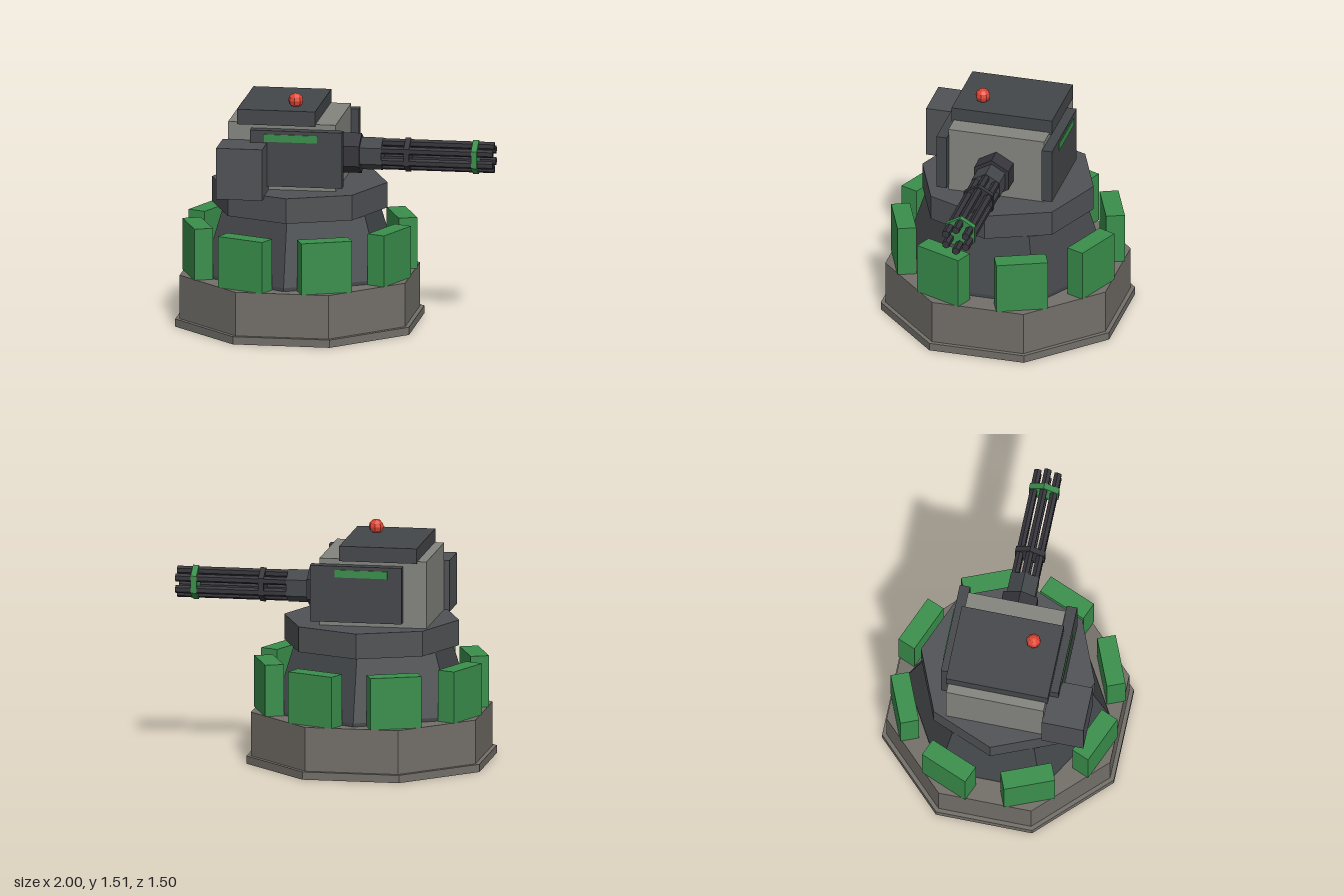
import * as THREE from 'three';

const mat = (color) => new THREE.MeshStandardMaterial({ color, flatShading: true });

export function createModel() {
  const model = new THREE.Group();
  const stone = mat(0x736f69), shell = mat(0x84847f), steel = mat(0x505255),
    dark = mat(0x44474a), gunmetal = mat(0x36363c), green = mat(0x3a8f4c), red = mat(0xe04535);
  const cx = -0.25, gunY = 1.1;

  const add = (name, geometry, material, parent = model) => {
    const mesh = new THREE.Mesh(geometry, material);
    mesh.name = name;
    parent.add(mesh);
    return mesh;
  };
  // Box given by its extents on each axis
  const box = (name, material, [x0, x1], [y0, y1], [z0, z1]) =>
    add(name, new THREE.BoxGeometry(x1 - x0, y1 - y0, z1 - z0), material)
      .position.set((x0 + x1) / 2, (y0 + y1) / 2, (z0 + z1) / 2);
  // Upright prism around the turret axis
  const prism = (name, material, sides, rBottom, rTop, y0, y1, turn = 0) =>
    add(name, new THREE.CylinderGeometry(rTop, rBottom, y1 - y0, sides, 1, false, turn), material)
      .position.set(cx, (y0 + y1) / 2, 0);
  // Hexagonal bar along x, with a corner pointing up
  const hexBar = (name, material, r, x0, x1, parent, y = 0, z = 0) => {
    const g = new THREE.CylinderGeometry(r, r, x1 - x0, 6, 1, false, Math.PI / 6);
    g.rotateZ(-Math.PI / 2);
    add(name, g, material, parent).position.set((x0 + x1) / 2, y, z);
  };

  // Octagonal base
  prism('baseFoot', stone, 8, 0.812, 0.812, 0, 0.05, Math.PI / 8);
  prism('base', stone, 8, 0.783, 0.783, 0.05, 0.333, Math.PI / 8);

  // Ring of armour blocks
  const ring = new THREE.Group();
  ring.name = 'armourRing';
  model.add(ring);
  for (let i = 0; i < 8; i++) {
    const a = (i + 0.5) * Math.PI / 4;
    const block = add('armourBlock', new THREE.BoxGeometry(0.33, 0.332, 0.12), green, ring);
    block.position.set(cx + 0.666 * Math.sin(a), 0.499, 0.666 * Math.cos(a));
    block.rotation.y = a;
  }

  // Hexagonal pedestal and octagonal collar
  prism('pedestalFoot', dark, 6, 0.66, 0.66, 0.333, 0.355);
  prism('pedestal', dark, 6, 0.66, 0.53, 0.355, 0.752);
  prism('collar', steel, 8, 0.563, 0.563, 0.752, 0.915);

  // Turret head
  box('head', shell, [-0.66, 0.03], [0.915, 1.347], [-0.315, 0.315]);
  box('roof', dark, [-0.6, -0.1], [1.335, 1.432], [-0.33, 0.33]);
  for (const s of [1, -1]) {
    const span = (a, b) => (s > 0 ? [a, b] : [-b, -a]);
    box('sidePlate', dark, [-0.51, 0.08], [0.95, 1.312], span(0.312, 0.38));
    box('sideStripe', green, [-0.42, -0.08], [1.24, 1.288], span(0.37, 0.386));
  }
  box('ammoBox', steel, [-0.695, -0.4], [0.9, 1.232], [0.31, 0.58]);

  // Warning lamp
  add('lamp', new THREE.SphereGeometry(0.048, 8, 6), red).position.set(cx, 1.467, 0.165);

  // Rotary gun
  const gun = new THREE.Group();
  gun.name = 'gun';
  gun.position.y = gunY;
  model.add(gun);
  hexBar('gunMount', gunmetal, 0.13, 0.02, 0.148, gun);
  hexBar('gunHousing', dark, 0.105, 0.148, 0.285, gun);
  hexBar('barrelClamp', gunmetal, 0.11, 0.43, 0.465, gun);
  hexBar('muzzleClamp', green, 0.11, 0.862, 0.9, gun);
  for (let i = 0; i < 6; i++) {
    const a = i * Math.PI / 3;
    hexBar('barrel', gunmetal, 0.026, 0.28, 1, gun, 0.075 * Math.cos(a), 0.075 * Math.sin(a));
  }
  return model;
}
